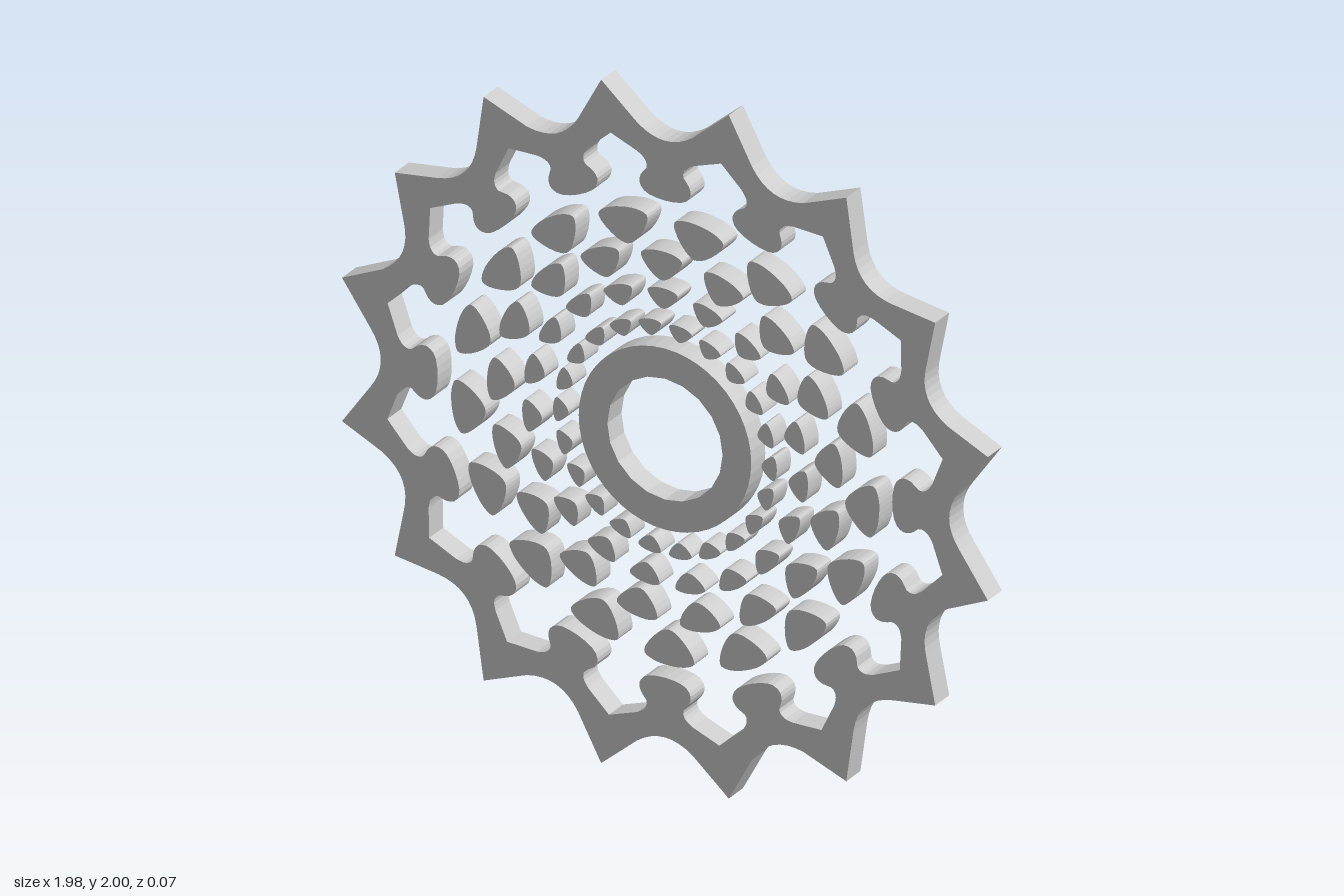
import * as THREE from 'three';

const DEPTH = 0.07;
const TEETH = 16;
const material = new THREE.MeshStandardMaterial({ color: 0xcccccc, flatShading: true });

// Turn a point (sideways t, outward r) by angle a, clockwise from the top
const polar = (t, r, a) => new THREE.Vector2(
  t * Math.cos(a) + r * Math.sin(a),
  r * Math.cos(a) - t * Math.sin(a)
);

// Repeat a small outline piece around the centre, ending with an optional extra
// point per step; the result is reversed so that it runs counter-clockwise
function around(piece, count, extras = []) {
  const points = [];
  for (let i = 0; i < count; i++) {
    for (const p of piece) points.push(polar(p.x, p.y, (i / count) * Math.PI * 2));
    if (extras[i]) points.push(extras[i]);
  }
  return points.reverse();
}

function plate(name, shape) {
  const geometry = new THREE.ExtrudeGeometry(shape, { depth: DEPTH, bevelEnabled: false });
  geometry.translate(0, 0, -DEPTH / 2);
  const mesh = new THREE.Mesh(geometry, material);
  mesh.name = name;
  return mesh;
}

// Rim tips clockwise from the top: one quarter, mirrored down and across
function rimTips() {
  const quarter = [[0.196, 1], [0.557, 0.854], [0.83, 0.56], [0.992, 0.21]];
  const right = [...quarter, ...quarter.map(([x, y]) => [x, -y]).reverse()];
  const all = [...right, ...right.map(([x, y]) => [-x, y]).reverse()];
  return all.map(([x, y]) => new THREE.Vector2(x, y));
}

// Star-shaped rim: pointed outside, knob-ended stalks inside
function makeRim() {
  const valley = new THREE.QuadraticBezierCurve(
    new THREE.Vector2(-0.085, 0.904), new THREE.Vector2(0, 0.842), new THREE.Vector2(0.085, 0.904)
  ).getPoints(8);
  const corner = new THREE.Vector2(-0.167, 0.853);
  const half = [
    [-0.085, 0.821], [-0.063, 0.805], [-0.056, 0.782], [-0.074, 0.757],
    [-0.078, 0.73], [-0.055, 0.706], [0, 0.698],
  ];
  const outline = [...half, ...half.slice(0, -1).reverse().map(([x, y]) => [-x, y])];
  const knob = new THREE.SplineCurve(outline.map(([x, y]) => new THREE.Vector2(x, y))).getPoints(28);
  const shape = new THREE.Shape(around(valley, TEETH, rimTips()));
  shape.holes.push(new THREE.Path(around([corner, ...knob], TEETH)));
  return plate('rim', shape);
}

// Hub: smooth outside, many-sided bore
function makeHub() {
  const shape = new THREE.Shape(around([new THREE.Vector2(0, 0.265)], 48));
  shape.holes.push(new THREE.Path(around([new THREE.Vector2(0, 0.177)], 20)));
  return plate('hub', shape);
}

// Rounded triangular petal with its narrow end toward the centre
const PETAL = [
  [0, -0.5], [0.2, -0.36], [0.45, 0.08], [0.48, 0.3], [0.3, 0.45], [0, 0.5],
  [-0.3, 0.45], [-0.48, 0.3], [-0.45, 0.08], [-0.2, -0.36],
];

function petalShape(width, height) {
  const curve = new THREE.CatmullRomCurve3(
    PETAL.map(([x, y]) => new THREE.Vector3(x * width, y * height, 0)), true
  );
  const points = curve.getPoints(30).slice(0, -1);
  return new THREE.Shape(points.map((p) => new THREE.Vector2(p.x, p.y)));
}

function makePetalRing({ name, count, radius, start, width, height }) {
  const ring = new THREE.Group();
  ring.name = name;
  const first = plate('petal', petalShape(width, height));
  for (let i = 0; i < count; i++) {
    const petal = i === 0 ? first : first.clone();
    const angle = THREE.MathUtils.degToRad(start + (360 * i) / count);
    const p = polar(0, radius, angle);
    petal.position.set(p.x, p.y, 0);
    petal.rotation.z = -angle;
    ring.add(petal);
  }
  return ring;
}

export function createModel() {
  const disc = new THREE.Group();
  disc.name = 'disc';
  disc.add(makeRim(), makeHub());

  // Petal rings from the outside in
  const rings = [
    { name: 'outerPetals', count: 17, radius: 0.607, start: 9.4, width: 0.158, height: 0.105 },
    { name: 'secondPetals', count: 17, radius: 0.505, start: -1.2, width: 0.13, height: 0.085 },
    { name: 'thirdPetals', count: 19, radius: 0.41, start: -1, width: 0.095, height: 0.06 },
    { name: 'innerPetals', count: 22, radius: 0.32, start: 8.2, width: 0.072, height: 0.047 },
  ];
  for (const ring of rings) disc.add(makePetalRing(ring));

  disc.position.y = 1;
  const model = new THREE.Group();
  model.name = 'model';
  model.add(disc);
  return model;
}
